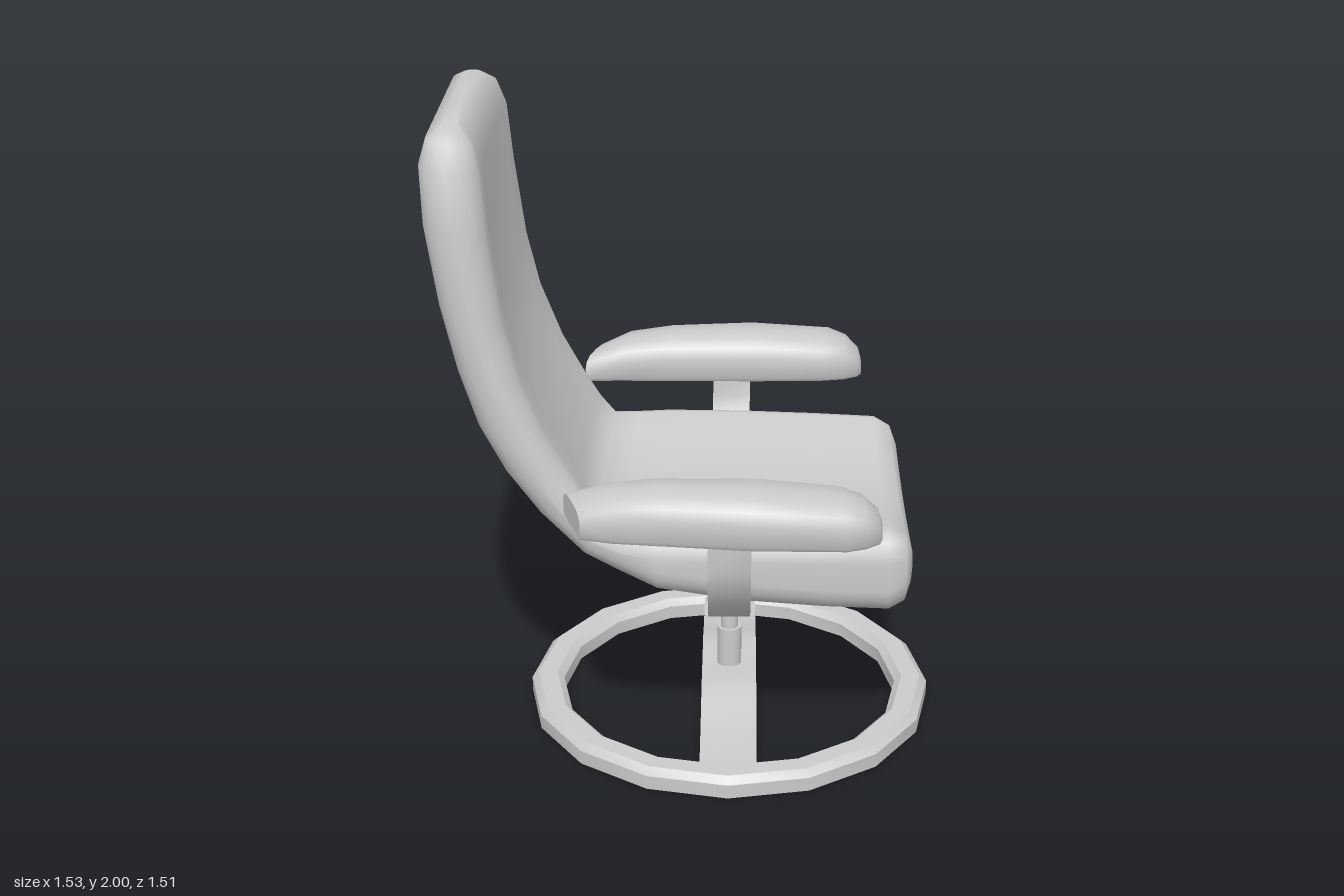
import * as THREE from 'three';
import { toCreasedNormals } from 'three/addons/utils/BufferGeometryUtils.js';

const POST_X = 0.117;

// Skin a list of equal-length closed loops of [x, y, z] and cap both ends.
function loft(loops, crease) {
  const n = loops[0].length, pos = loops.flat(2), index = [];
  for (let i = 0; i < loops.length - 1; i++) {
    for (let j = 0; j < n; j++) {
      const a = i * n + j, b = i * n + (j + 1) % n;
      index.push(a, b, a + n, b, b + n, a + n);
    }
  }
  [0, loops.length - 1].forEach((k) => {
    const c = pos.length / 3;
    for (let d = 0; d < 3; d++) pos.push(loops[k].reduce((s, p) => s + p[d], 0) / n);
    for (let j = 0; j < n; j++) {
      const a = k * n + j, b = k * n + (j + 1) % n;
      if (k === 0) index.push(c, b, a); else index.push(c, a, b);
    }
  });
  // Turn the faces outward when the enclosed volume comes out negative.
  const v = (i) => new THREE.Vector3().fromArray(pos, index[i] * 3);
  let volume = 0;
  for (let i = 0; i < index.length; i += 3) volume += v(i).dot(v(i + 1).cross(v(i + 2)));
  if (volume < 0) index.reverse();
  const g = new THREE.BufferGeometry();
  g.setAttribute('position', new THREE.Float32BufferAttribute(pos, 3));
  g.setIndex(index);
  g.computeVertexNormals();
  return crease ? toCreasedNormals(g, crease) : g;
}

// Rounded cushion section from front point f to rear point b; the front face is dished.
function cushionLoop([fx, fy, bx, by, half, dish]) {
  const t = Math.hypot(bx - fx, by - fy), r = Math.min(0.085, t * 0.48), flat = half - r;
  const pts = [];
  const add = (w, d) => pts.push([fx + (bx - fx) * d / t, fy + (by - fy) * d / t, w]);
  const corner = (cw, cd, start) => {
    for (let i = 0; i <= 4; i++) {
      const a = start + i * Math.PI / 8;
      add(cw + r * Math.cos(a), cd + r * Math.sin(a));
    }
  };
  corner(flat, t - r, 0);
  for (const k of [0.5, 0, -0.5]) add(flat * k, t);
  corner(-flat, t - r, Math.PI / 2);
  corner(-flat, r, Math.PI);
  for (let k = -0.75; k <= 0.75; k += 0.25) add(flat * k, dish * (1 - k * k));
  corner(flat, r, Math.PI * 1.5);
  return pts;
}

// Bent flat bar: half path of [z, y] from the end to the middle, mirrored across z.
function bentBar(half, thickness, width) {
  const path = [...half, ...half.slice(0, -1).reverse().map(([z, y]) => [-z, y])];
  return loft(path.map(([z, y], i) => {
    const p = path[Math.max(i - 1, 0)], q = path[Math.min(i + 1, path.length - 1)];
    const len = Math.hypot(q[0] - p[0], q[1] - p[1]);
    const nz = -(q[1] - p[1]) / len * thickness / 2, ny = (q[0] - p[0]) / len * thickness / 2;
    const a = POST_X - width / 2, b = POST_X + width / 2;
    return [[a, y + ny, z + nz], [b, y + ny, z + nz], [b, y - ny, z - nz], [a, y - ny, z - nz]];
  }), 0.7);
}

// Armrest pad for one side (+1 or -1 in z).
function armPad(side) {
  const section = [[0.04, 0], [0.5, 0], [0.96, 0], [1, 0.1], [1, 0.55], [0.95, 0.8], [0.8, 0.96],
    [0.5, 1], [0.2, 0.96], [0.05, 0.8], [0, 0.55], [0, 0.1]];
  // inner x, outer x, inner z, outer z, top y
  const stations = [
    [-0.37, -0.31, 0.51, 0.69, 0.968], [-0.24, -0.22, 0.513, 0.715, 1.01],
    [-0.1, -0.08, 0.513, 0.73, 1.028], [0.2, 0.18, 0.515, 0.757, 1.032],
    [0.42, 0.45, 0.525, 0.757, 1.015], [0.49, 0.505, 0.54, 0.735, 0.995],
    [0.54, 0.545, 0.57, 0.7, 0.955], [0.553, 0.553, 0.6, 0.67, 0.925],
  ];
  const y0 = 0.885;
  return loft(stations.map(([xi, xo, zi, zo, top]) => section.map(([u, v]) =>
    [xi + (xo - xi) * u, y0 + (top - y0) * v, side * (zi + (zo - zi) * u)])), 0.9);
}

export function createModel() {
  const group = new THREE.Group();
  const material = new THREE.MeshStandardMaterial({ color: 0xcccccc });
  const add = (name, geometry) => {
    const mesh = new THREE.Mesh(geometry, material);
    mesh.name = name;
    group.add(mesh);
    return mesh;
  };

  // One continuous cushion: front x, y, rear x, y, half width, dish depth
  add('seatAndBack', loft([
    [-0.655, 1.997, -0.71, 1.998, 0.32, 0],
    [-0.615, 1.96, -0.748, 1.972, 0.4, 0.005],
    [-0.59, 1.88, -0.768, 1.9, 0.452, 0.01],
    [-0.575, 1.7, -0.76, 1.73, 0.471, 0.015],
    [-0.542, 1.45, -0.725, 1.5, 0.473, 0.015],
    [-0.5, 1.27, -0.68, 1.3, 0.473, 0.015],
    [-0.43, 1.09, -0.625, 1.125, 0.47, 0.02],
    [-0.36, 0.965, -0.55, 0.975, 0.463, 0.025],
    [-0.31, 0.88, -0.45, 0.84, 0.457, 0.035],
    [-0.265, 0.82, -0.32, 0.71, 0.458, 0.045],
    [-0.19, 0.818, -0.22, 0.66, 0.482, 0.05],
    [-0.09, 0.816, -0.1, 0.608, 0.507, 0.055],
    [0.15, 0.813, 0.15, 0.572, 0.512, 0.06],
    [0.4, 0.808, 0.4, 0.551, 0.506, 0.06],
    [0.59, 0.803, 0.595, 0.54, 0.497, 0.055],
    [0.642, 0.778, 0.642, 0.56, 0.48, 0.045],
    [0.664, 0.715, 0.656, 0.605, 0.445, 0.015],
  ].map(cushionLoop)));

  // Armrests and the strap that carries them under the seat
  add('leftArmrest', armPad(-1));
  add('rightArmrest', armPad(1));
  add('armStrap', bentBar([[0.668, 0.9], [0.668, 0.78], [0.645, 0.715], [0.6, 0.645], [0.485, 0.55],
    [0.34, 0.54], [0.24, 0.525], [0.12, 0.497], [0, 0.487]], 0.025, 0.125));

  // Swivel post
  const cylinder = (name, radius, y0, y1) =>
    add(name, new THREE.CylinderGeometry(radius, radius, y1 - y0, 16))
      .position.set(POST_X, (y0 + y1) / 2, 0);
  cylinder('postSleeve', 0.039, 0.1, 0.245);
  cylinder('post', 0.028, 0.24, 0.49);

  // Wavy crossbar and floor ring
  add('baseCrossbar', bentBar([[0.57, 0.05], [0.45, 0.052], [0.33, 0.064], [0.24, 0.086], [0.17, 0.105],
    [0.1, 0.106], [0, 0.099]], 0.024, 0.175));
  const profile = [[0.54, 0], [0.645, 0], [0.645, 0.045], [0.622, 0.066], [0.562, 0.066], [0.54, 0.045], [0.54, 0]]
    .map(([r, y]) => new THREE.Vector2(r, y));
  add('baseRing', toCreasedNormals(new THREE.LatheGeometry(profile, 16), 0.6)).position.x = POST_X;

  return group;
}
